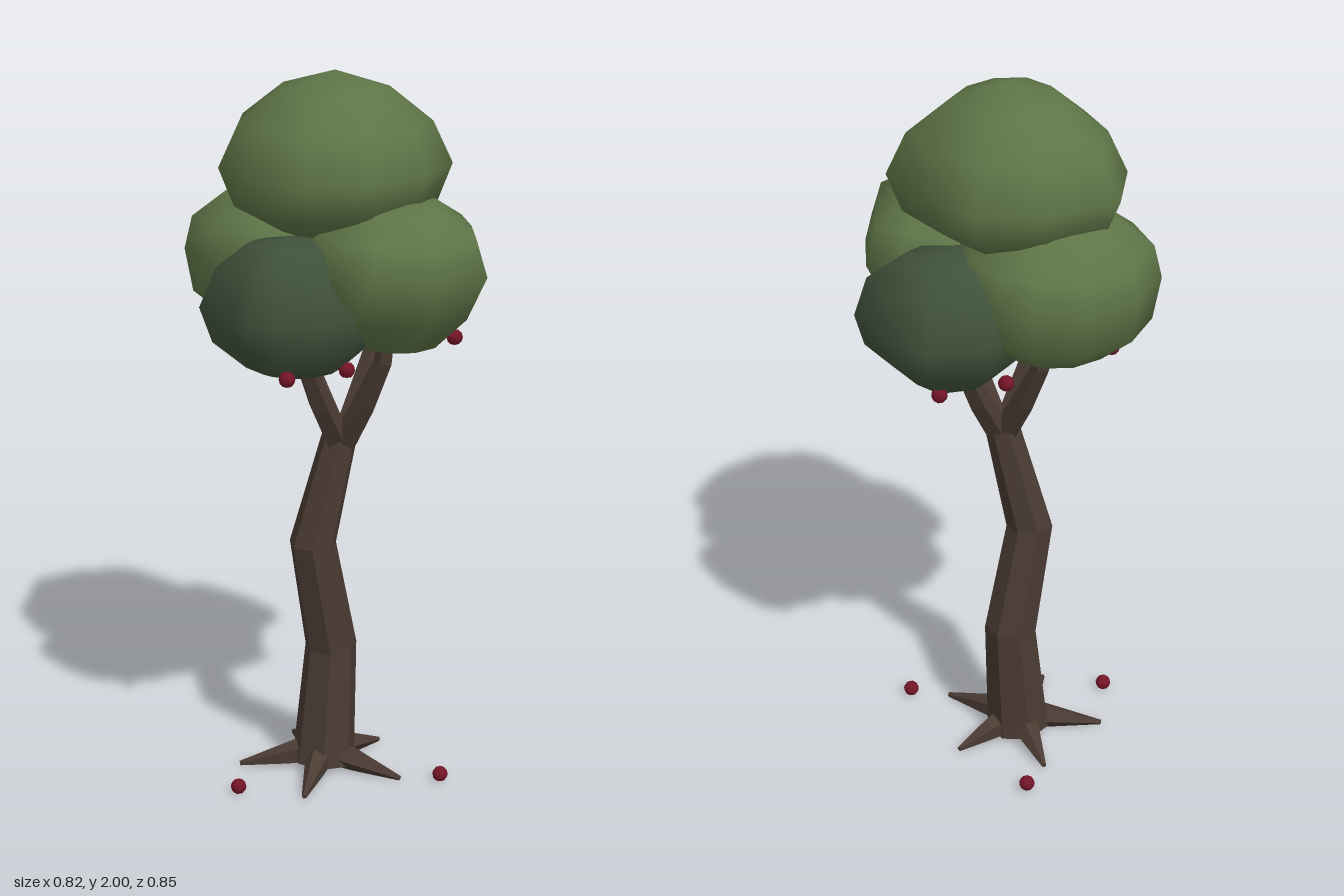
import * as THREE from 'three';

const material = (name, color) => {
  const m = new THREE.MeshStandardMaterial({ color });
  m.name = name;
  return m;
};

// Closed skin over equal rings of points, with a pole point before the first and after the last
function skin(rings, firstPole, lastPole) {
  const n = rings[0].length;
  const last = (rings.length - 1) * n;
  const c = rings.length * n;
  const idx = [];
  for (let j = 0; j < n; j++) {
    const k = (j + 1) % n;
    for (let r = 0; r < last; r += n) {
      idx.push(r + j, r + n + j, r + k, r + k, r + n + j, r + n + k);
    }
    idx.push(c, j, k, c + 1, last + k, last + j);
  }
  const g = new THREE.BufferGeometry();
  g.setAttribute('position', new THREE.Float32BufferAttribute([...rings.flat(2), ...firstPole, ...lastPole], 3));
  g.setIndex(idx);
  return g;
}

// Faceted limb: rings of given radius along a path
function limb(path, radii, sides, turn) {
  const pts = path.map((p) => new THREE.Vector3(...p));
  const up = new THREE.Vector3(0, 1, 0);
  const rings = pts.map((p, i) => {
    const dir = pts[Math.min(i + 1, pts.length - 1)].clone().sub(pts[Math.max(i - 1, 0)]).normalize();
    const q = new THREE.Quaternion().setFromUnitVectors(up, dir);
    return Array.from({ length: sides }, (_, j) => {
      const a = turn + (j / sides) * Math.PI * 2;
      const v = new THREE.Vector3(Math.cos(a), 0, Math.sin(a)).multiplyScalar(radii[i]).applyQuaternion(q).add(p);
      return [v.x, Math.max(v.y, 0), v.z];
    });
  });
  const flat = skin(rings, path[0], path[path.length - 1]).toNonIndexed();
  flat.computeVertexNormals();
  return flat;
}

// Smooth leaf clump: a plan outline [x, z] scaled about its centre at each level [scale, y], bottom to top
function clump([cx, cz], outline, levels) {
  const angle = ([x, z]) => Math.atan2(z - cz, x - cx);
  const plan = [...outline].sort((a, b) => angle(a) - angle(b));
  const rings = levels.slice(1, -1).map(([s, y]) => plan.map(([x, z]) => [cx + (x - cx) * s, y, cz + (z - cz) * s]));
  const g = skin(rings, [cx, levels[0][1], cz], [cx, levels[levels.length - 1][1], cz]);
  g.computeVertexNormals();
  return g;
}

export function createModel() {
  const tree = new THREE.Group();
  tree.name = 'fruitTree';
  const bark = material('bark brown', 0x4a3b33);
  const light = material('light leaf green', 0x5e7547);
  const dark = material('dark leaf green', 0x40523b);
  const red = material('fruit red', 0x741527);
  const add = (name, geometry, mat) => {
    const m = new THREE.Mesh(geometry, mat);
    m.name = name;
    tree.add(m);
    return m;
  };

  // Crooked trunk
  add('trunk', limb(
    [[-0.04, 0.015, -0.05], [-0.013, 0.36, -0.057], [-0.074, 0.68, -0.042], [0, 1.0, -0.018]],
    [0.09, 0.074, 0.066, 0.049], 7, 0.2), bark);

  // Five pointed roots
  [0.22, 0.215, 0.25, 0.25, 0.24].forEach((len, i) => {
    const a = -Math.PI / 2 + (i * Math.PI * 2) / 5;
    const at = (r, y) => [-0.04 + r * Math.cos(a), y, -0.05 + r * Math.sin(a)];
    add('root', limb([at(0.04, 0.045), at(0.11, 0.032), at(len, 0.01)], [0.042, 0.031, 0.007], 5, 0), bark);
  });

  // Four bent branches
  for (let i = 0; i < 4; i++) {
    const a = 1.12 + (i * Math.PI) / 2;
    const at = (r, y) => [r * Math.cos(a), y, -0.015 + r * Math.sin(a)];
    add('branch', limb([at(0.012, 0.975), at(0.085, 1.1), at(0.15, 1.23), at(0.18, 1.42)],
      [0.036, 0.034, 0.027, 0.017], 5, a), bark);
  }

  // Leaf clumps
  add('topLeaves', clump([-0.01, -0.03],
    [[-0.02, -0.33], [-0.22, -0.3], [-0.31, -0.12], [-0.3, 0.06], [-0.21, 0.23], [-0.03, 0.275],
      [0.15, 0.21], [0.29, 0.07], [0.23, -0.12], [0.16, -0.28]],
    [[0, 1.55], [0.5, 1.57], [0.87, 1.64], [1, 1.745], [0.83, 1.86], [0.46, 1.955], [0, 2]]), light);
  add('frontLeaves', clump([0.09, 0.16],
    [[0.355, 0.05], [0.31, 0.21], [0.245, 0.37], [0.08, 0.425], [-0.085, 0.37], [-0.15, 0.28],
      [-0.178, 0.15], [-0.13, 0], [0, -0.09], [0.16, -0.1], [0.28, -0.03]],
    [[0, 1.27], [0.42, 1.29], [0.78, 1.38], [1, 1.5], [0.87, 1.6], [0.5, 1.66], [0, 1.68]]), light);
  add('backLeaves', clump([-0.1, -0.17],
    [[-0.355, -0.1], [-0.355, -0.265], [-0.245, -0.385], [-0.09, -0.427], [0.05, -0.385], [0.12, -0.315],
      [0.17, -0.2], [0.15, -0.05], [0.02, 0.05], [-0.15, 0.07], [-0.28, 0]],
    [[0, 1.27], [0.55, 1.3], [0.92, 1.38], [1, 1.5], [0.92, 1.59], [0.55, 1.665], [0, 1.685]]), light);
  add('leftLeaves', clump([0.18, -0.12],
    [[0.412, -0.025], [0.375, -0.18], [0.3, -0.31], [0.12, -0.325], [0.02, -0.26], [-0.05, -0.16],
      [-0.05, -0.05], [0, 0.03], [0.12, 0.075], [0.25, 0.065], [0.33, 0.03]],
    [[0, 1.205], [0.52, 1.235], [0.9, 1.315], [1, 1.4], [0.86, 1.51], [0.5, 1.575], [0, 1.59]]), dark);
  add('rightLeaves', clump([-0.18, 0.1],
    [[-0.412, -0.01], [-0.38, 0.14], [-0.355, 0.2], [-0.3, 0.24], [-0.17, 0.3], [-0.06, 0.27],
      [0.03, 0.19], [0.05, 0.07], [0, -0.04], [-0.1, -0.09], [-0.25, -0.09], [-0.34, -0.06]],
    [[0, 1.205], [0.52, 1.235], [0.87, 1.305], [1, 1.4], [0.82, 1.51], [0.5, 1.575], [0, 1.59]]), dark);

  // Fruit hanging under the crown and fallen on the ground
  const fruit = new THREE.IcosahedronGeometry(0.022, 1);
  const hanging = [[-0.25, 1.238, 0.2], [-0.07, 1.238, 0.18], [0.22, 1.31, 0.235],
    [0.245, 1.238, -0.23], [0.06, 1.238, -0.225], [-0.225, 1.31, -0.25]];
  const fallen = [[-0.34, 0.025, 0.045], [0.04, 0.025, -0.35], [0.21, 0.025, 0.2]];
  hanging.forEach((p) => add('hangingFruit', fruit, red).position.set(...p));
  fallen.forEach((p) => add('fallenFruit', fruit, red).position.set(...p));
  return tree;
}
